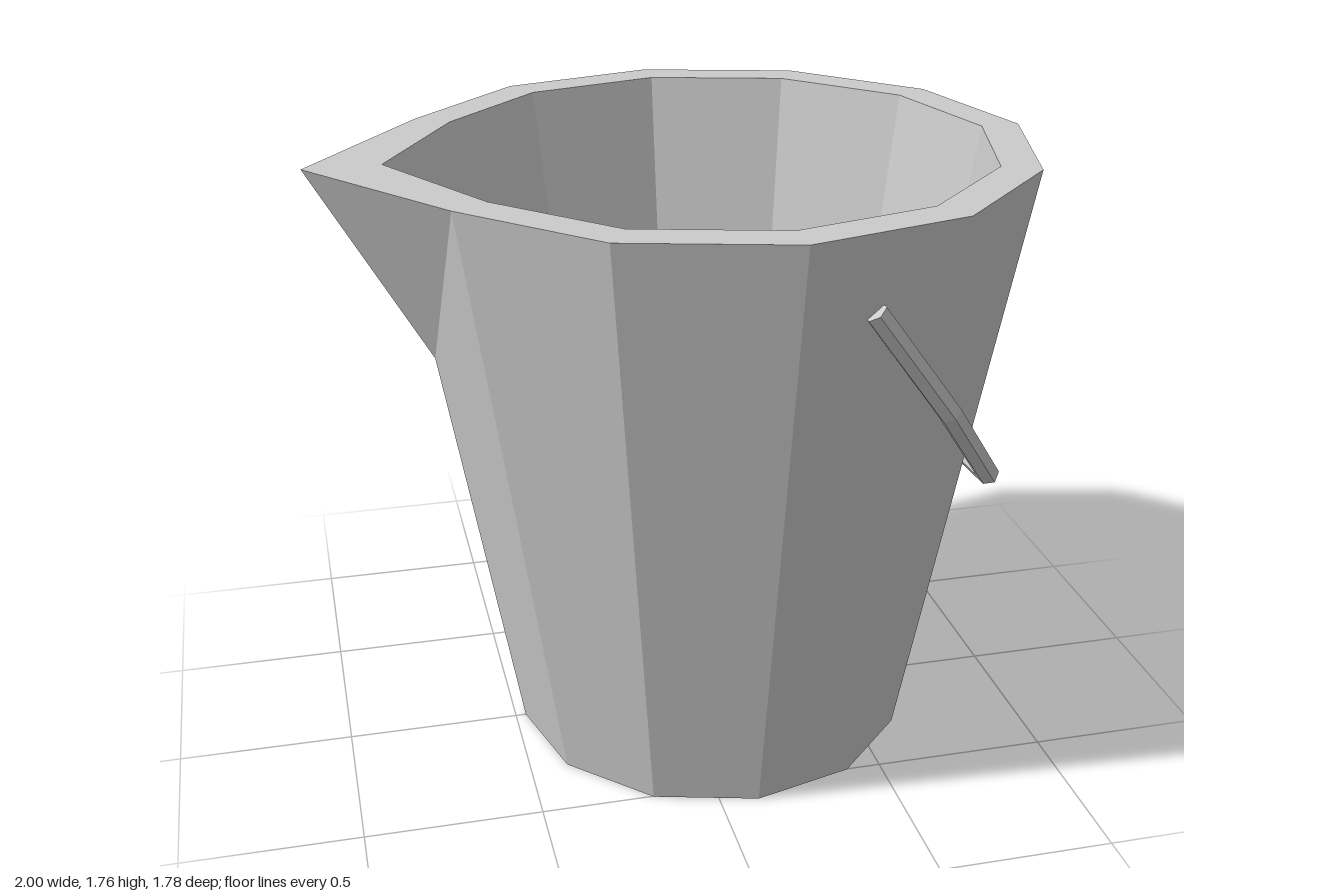
import * as THREE from 'three';

const material = new THREE.MeshStandardMaterial({ color: 0xcccccc, flatShading: true });

// Flat-shaded skin over a list of rings; diagonals are mirrored on the two halves.
function loft(name, rings) {
  const n = rings[0].length;
  const pos = [];
  const tri = (...corners) => corners.forEach((p) => pos.push(p.x, p.y, p.z));
  for (let k = 0; k < rings.length - 1; k++) {
    for (let i = 0; i < n; i++) {
      const j = (i + 1) % n;
      const a = rings[k][i], b = rings[k][j];
      const c = rings[k + 1][i], d = rings[k + 1][j];
      if (i < n / 2) { tri(a, c, b); tri(b, c, d); }
      else { tri(a, c, d); tri(a, d, b); }
    }
  }
  const geometry = new THREE.BufferGeometry();
  geometry.setAttribute('position', new THREE.Float32BufferAttribute(pos, 3));
  geometry.computeVertexNormals();
  const mesh = new THREE.Mesh(geometry, material);
  mesh.name = name;
  return mesh;
}

// Twelve-sided bucket ring; the corner on the -x side can be pulled out as a spout.
function bucketRing(r, y, spout = r) {
  return Array.from({ length: 12 }, (_, i) => {
    const a = (i * Math.PI) / 6;
    const radius = i === 6 ? spout : r;
    return new THREE.Vector3(0.11 + radius * Math.cos(a), y, radius * Math.sin(a));
  });
}

// Hexagonal rod bent along a tilted flat path, closed at both ends.
function handle() {
  const half = [[0.31, 1.545, 0.795], [0.54, 1.235, 0.745], [0.795, 0.89, 0.44]];
  const path = [
    ...half,
    [0.878, 0.775, 0],
    ...half.map(([x, y, z]) => [x, y, -z]).reverse(),
  ].map((p) => new THREE.Vector3(...p));
  const normal = new THREE.Vector3(0.806, 0.592, 0);
  const rings = path.map((p, k) => {
    const before = path[Math.max(k - 1, 0)];
    const after = path[Math.min(k + 1, path.length - 1)];
    const side = after.clone().sub(before).normalize().cross(normal);
    return Array.from({ length: 6 }, (_, i) => {
      const a = (i * Math.PI) / 3;
      return p.clone()
        .addScaledVector(side, 0.032 * Math.cos(a))
        .addScaledVector(normal, 0.032 * Math.sin(a));
    });
  });
  const cap = (p) => Array(6).fill(p);
  return loft('handle', [cap(path[0]), ...rings, cap(path[path.length - 1])]);
}

export function createModel() {
  const group = new THREE.Group();
  group.name = 'bucket';
  // Underside, outer wall, rim, inner wall and floor as one skin
  group.add(loft('bucketBody', [
    bucketRing(0, 0),
    bucketRing(0.58, 0),
    bucketRing(0.791, 1.2),
    bucketRing(0.89, 1.76, 1.11),
    bucketRing(0.78, 1.76, 0.9),
    bucketRing(0.513, 0.1),
    bucketRing(0, 0.1),
  ]));
  group.add(handle());
  return group;
}
